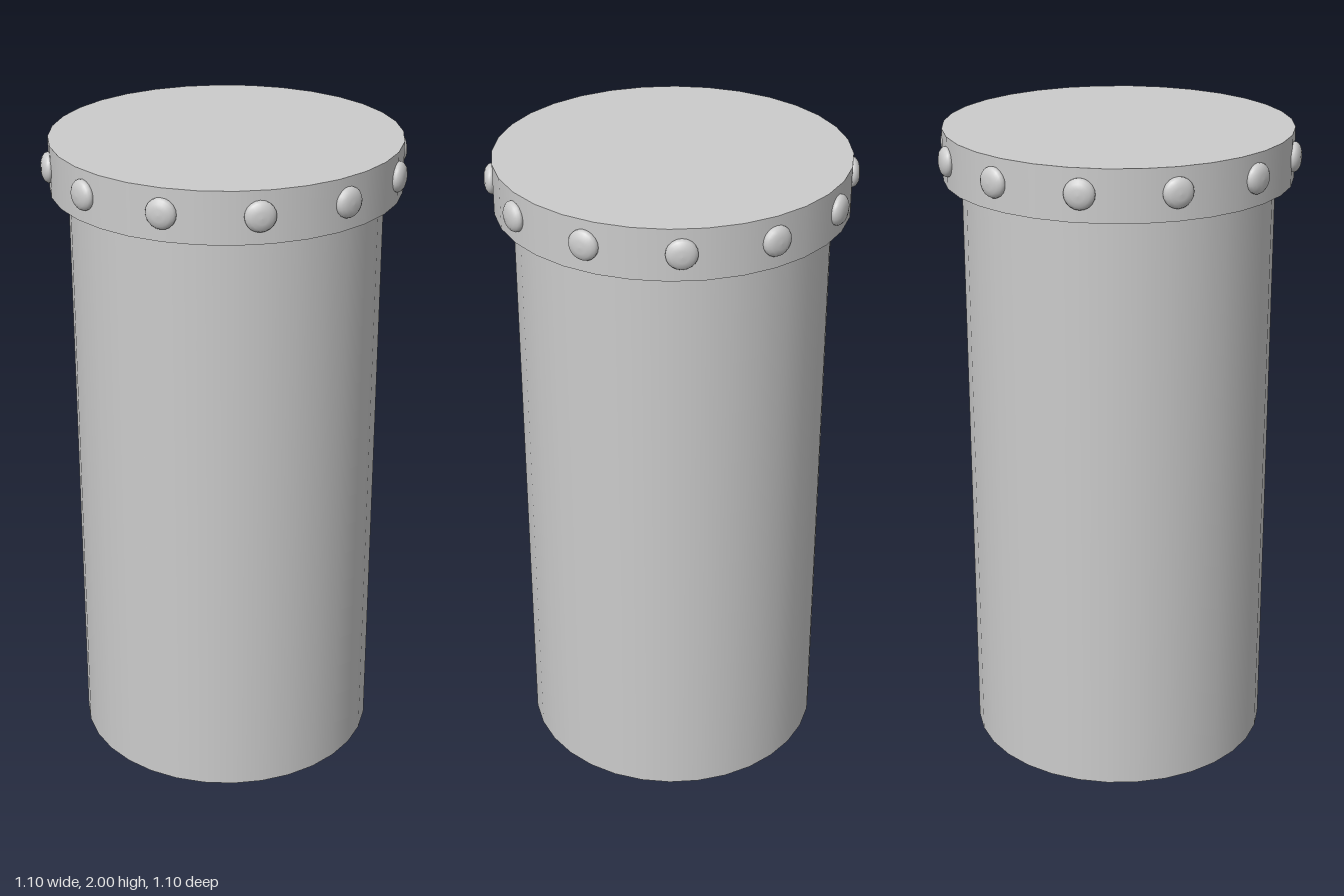
import * as THREE from 'three';

export function createModel() {
  const model = new THREE.Group();
  const material = new THREE.MeshStandardMaterial({ color: 0xcccccc });
  const thin = new THREE.MeshStandardMaterial({ color: 0xcccccc, side: THREE.DoubleSide });

  const add = (name, geometry, mat, y) => {
    const mesh = new THREE.Mesh(geometry, mat);
    mesh.name = name;
    mesh.position.y = y;
    model.add(mesh);
  };

  // Hollow body, open at the bottom
  const capBottom = 1.845;
  add('body', new THREE.CylinderGeometry(0.47, 0.47, capBottom, 32, 1, true), thin, capBottom / 2);

  // Wider cap that closes the top
  const capHeight = 2 - capBottom;
  add('cap', new THREE.CylinderGeometry(0.525, 0.525, capHeight, 32), material, 2 - capHeight / 2);

  // Flattened domed rivets around the cap
  const profile = [
    [0.036, -0.012], [0.045, 0], [0.045, 0.007], [0.041, 0.014],
    [0.032, 0.021], [0.018, 0.025], [0, 0.026],
  ].map(([r, h]) => new THREE.Vector2(r, h));
  const rivetGeometry = new THREE.LatheGeometry(profile, 20).rotateX(Math.PI / 2);
  const rivets = new THREE.Group();
  rivets.name = 'rivets';
  const count = 12;
  for (let i = 0; i < count; i++) {
    const angle = (i / count) * Math.PI * 2;
    const rivet = new THREE.Mesh(rivetGeometry, material);
    rivet.name = 'rivet';
    rivet.position.set(Math.sin(angle) * 0.523, 1.927, Math.cos(angle) * 0.523);
    rivet.rotation.y = angle;
    rivets.add(rivet);
  }
  model.add(rivets);

  return model;
}
